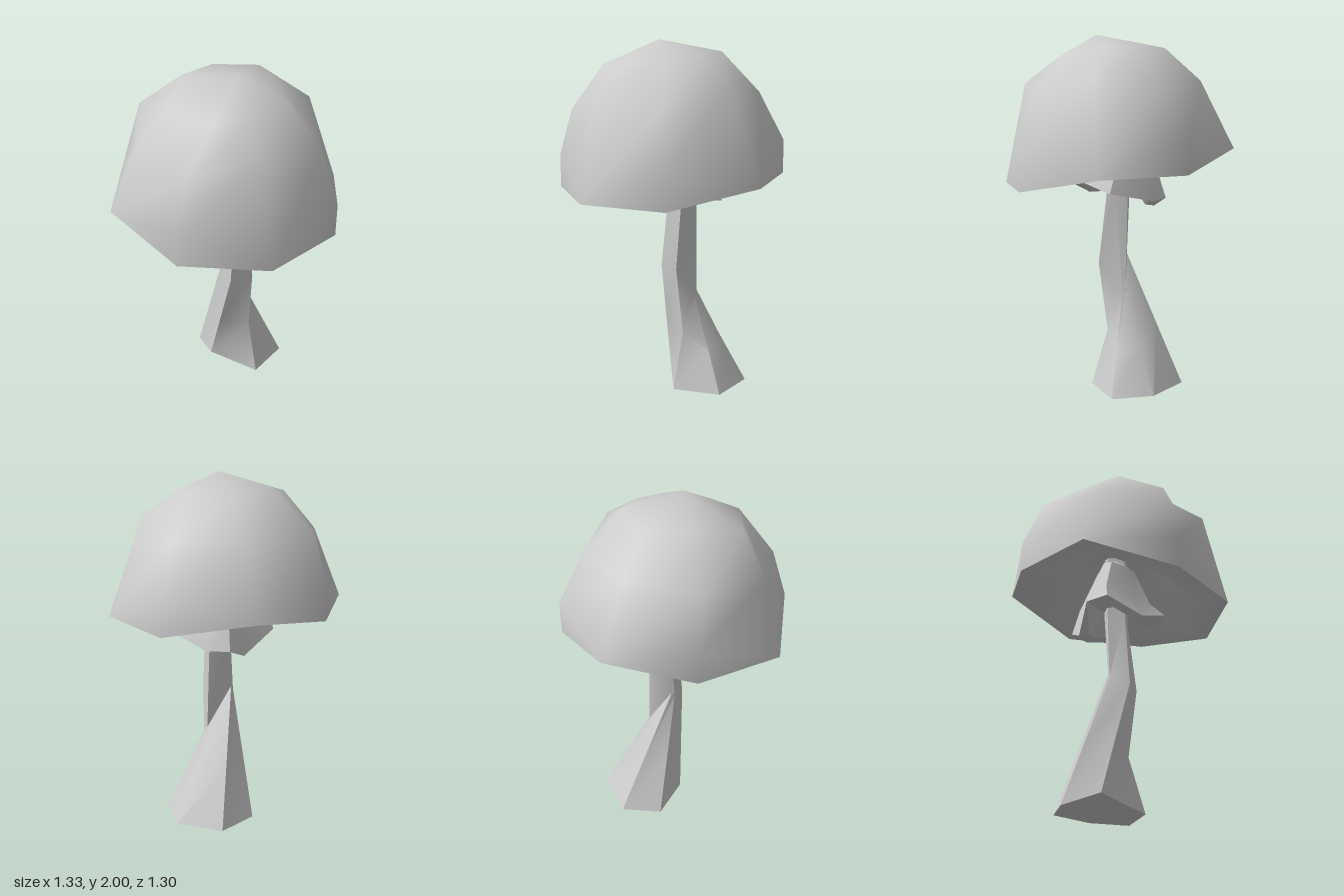
import * as THREE from 'three';
import { toCreasedNormals } from 'three/addons/utils/BufferGeometryUtils.js';

// Skin a list of rings (each clockwise from above), following the outside upward.
function loft(rings, crease) {
  const pos = [];
  const same = (p, q) => Math.hypot(p[0] - q[0], p[1] - q[1], p[2] - q[2]) < 1e-6;
  const tri = (a, b, c) => {
    if (!same(a, b) && !same(b, c) && !same(c, a)) pos.push(...a, ...b, ...c);
  };
  const n = rings[0].length;
  for (let i = 0; i < rings.length - 1; i++) {
    for (let j = 0; j < n; j++) {
      const k = (j + 1) % n;
      const a = rings[i][j], b = rings[i][k], c = rings[i + 1][k], d = rings[i + 1][j];
      tri(a, d, b);
      tri(b, d, c);
    }
  }
  const geo = new THREE.BufferGeometry();
  geo.setAttribute('position', new THREE.Float32BufferAttribute(pos, 3));
  return toCreasedNormals(geo, crease);
}

const point = (ring, p) => ring.map(() => p);

// Scale a ring about the axis, shift it, and set its height by a rule.
const scaled = (ring, s, cx, cz, height) =>
  ring.map(([x, y, z]) => [cx + x * s, height(y), cz + z * s]);

// Ring part of the way between two others.
const between = (r0, r1, t) => r0.map((p, i) => p.map((v, k) => v + (r1[i][k] - v) * t));

export function createModel() {
  const group = new THREE.Group();
  const grey = new THREE.MeshStandardMaterial({ color: 0xcccccc });
  grey.name = 'pale grey';
  const add = (name, geometry) => {
    const mesh = new THREE.Mesh(geometry, grey);
    mesh.name = name;
    group.add(mesh);
  };

  // Cap: tilted eight-sided dome, hollow underneath
  const rim = [
    [0.09, 1.37, -0.655], [0.505, 1.26, -0.365], [0.66, 1.25, 0.09], [0.38, 1.157, 0.52],
    [-0.095, 1.157, 0.65], [-0.51, 1.17, 0.395], [-0.665, 1.28, -0.095], [-0.375, 1.28, -0.49],
  ];
  // Every second corner rises straight up before the dome curves in
  const side = rim.map(([x, y, z], i) => [x, i % 2 ? y + 0.185 : y, z]);
  const shoulder = [
    [0.07, 1.745, -0.465], [0.41, 1.717, -0.25], [0.45, 1.79, 0.1], [0.31, 1.67, 0.43],
    [-0.09, 1.73, 0.53], [-0.43, 1.62, 0.37], [-0.53, 1.67, -0.01], [-0.34, 1.73, -0.39],
  ];
  const crown = [
    [0.05, 1.925, -0.265], [0.255, 1.935, -0.11], [0.255, 1.92, 0.08], [0.19, 1.88, 0.28],
    [-0.06, 1.867, 0.35], [-0.24, 1.865, 0.31], [-0.367, 1.88, 0.06], [-0.19, 1.95, -0.15],
  ];
  add('cap', loft([
    point(rim, [0, 1.62, 0.03]),
    scaled(rim, 0.5, 0, 0.02, y => 1.47 + 0.2 * (y - 1.25)),
    scaled(rim, 0.76, 0, 0, y => y + 0.025),
    rim, side, shoulder, crown,
    point(rim, [0, 2, 0.12]),
  ], 1.25));

  // Skirt: ragged flared collar under the cap
  const hem = [
    [-0.02, 1.03, -0.215], [0.087, 1.09, -0.275], [0.2, 1.085, -0.2], [0.33, 1.14, 0.04],
    [0.28, 1.2, 0.19], [0.1, 1.19, 0.28], [-0.1, 1.1, 0.16], [-0.26, 1.16, -0.02],
    [-0.23, 1.14, -0.14],
  ];
  add('skirt', loft([
    scaled(hem, 0.3, 0.05, -0.01, () => 1.2),
    scaled(hem, 0.7, 0.02, -0.01, y => y + 0.01),
    hem,
    scaled(hem, 0.76, 0.01, -0.02, y => y * 0.3 + 0.91),
    scaled(hem, 0.4, 0.03, -0.01, () => 1.48),
    point(hem, [0.05, 1.56, 0]),
  ], 0.45));

  // Stem: six-sided, leaning, with a foot spreading to the back and left
  const foot = [
    [0.17, 0.03, -0.37], [0.385, 0.03, -0.2], [0.37, 0.005, 0.03],
    [0.125, 0.01, 0.145], [-0.08, 0.085, -0.07], [-0.05, 0.03, -0.29],
  ];
  const waist = [
    [-0.01, 0.78, -0.045], [0.14, 0.54, -0.045], [0.14, 0.54, -0.03],
    [0.11, 0.72, 0.105], [-0.02, 0.72, 0.08], [-0.025, 0.76, -0.035],
  ];
  const neck = [
    [0.03, 1.15, -0.072], [0.125, 1.15, -0.06], [0.125, 1.15, 0.01],
    [0.11, 1.15, 0.055], [0.01, 1.15, 0.05], [0.0, 1.15, -0.05],
  ];
  const ankle = between(foot, waist, 0.45);
  ankle[3] = [0.12, 0.33, 0.055];
  add('stem', loft([
    point(foot, [0.17, 0.02, -0.12]), foot, ankle, waist, neck,
    scaled(neck, 1, 0, 0, () => 1.55),
    point(foot, [0.06, 1.56, 0]),
  ], 0.9));

  return group;
}
